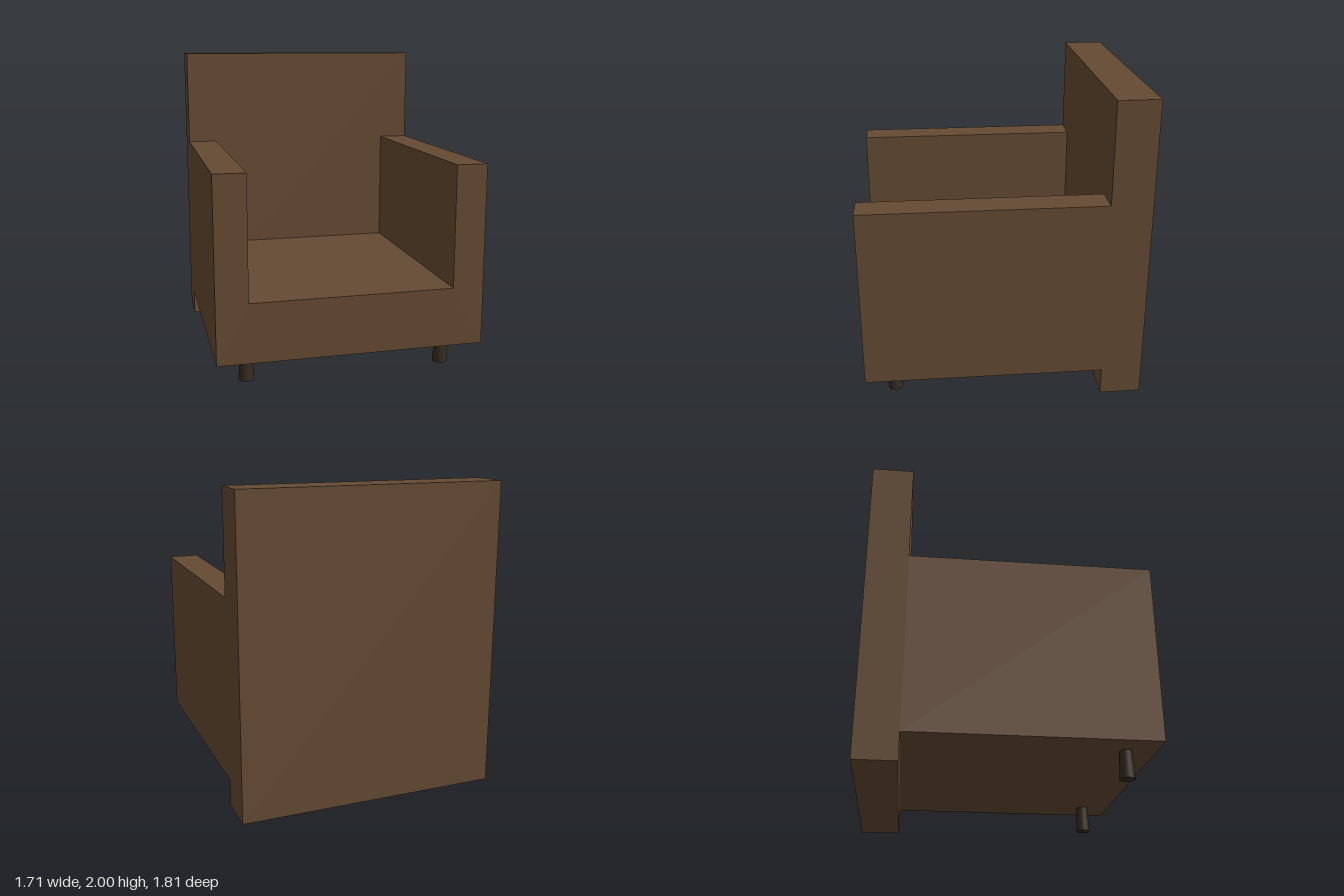
import * as THREE from 'three';

export function createModel() {
  const chair = new THREE.Group();
  chair.name = 'armchair';
  const upholstery = new THREE.MeshStandardMaterial({ color: 0x644a32 });
  const darkWood = new THREE.MeshStandardMaterial({ color: 0x352a20 });

  const halfWidth = 0.855, halfDepth = 0.905, backFront = -0.64;
  const bodyBottom = 0.175, seatTop = 0.555, armTop = 1.345, armInner = 0.653;

  const add = (name, geometry, material, x, y, z) => {
    const mesh = new THREE.Mesh(geometry, material);
    mesh.name = name;
    mesh.position.set(x, y, z);
    chair.add(mesh);
  };

  // Seat and both arms: one U-shaped section running front to back
  const section = new THREE.Shape([
    [-halfWidth, bodyBottom], [halfWidth, bodyBottom],
    [halfWidth, armTop], [armInner, armTop],
    [armInner, seatTop], [-armInner, seatTop],
    [-armInner, armTop], [-halfWidth, armTop],
  ].map(([x, y]) => new THREE.Vector2(x, y)));
  const body = new THREE.ExtrudeGeometry(section, {
    depth: halfDepth - backFront, bevelEnabled: false,
  });
  add('seatAndArms', body, upholstery, 0, 0, backFront);

  // Tall backrest slab reaching the floor
  const backDepth = halfDepth + backFront;
  add('backrest', new THREE.BoxGeometry(2 * halfWidth, 2, backDepth), upholstery,
    0, 1, backFront - backDepth / 2);

  // Tapered legs; the rear pair sits inside the backrest, just clear of its underside
  for (const [end, z, bottom] of [['front', 0.717, 0], ['rear', -0.717, 0.002]]) {
    for (const [side, x] of [['Left', 0.65], ['Right', -0.65]]) {
      const height = bodyBottom - bottom;
      add(`${end}${side}Leg`, new THREE.CylinderGeometry(0.039, 0.049, height, 24), darkWood,
        x, bottom + height / 2, z);
    }
  }

  return chair;
}
